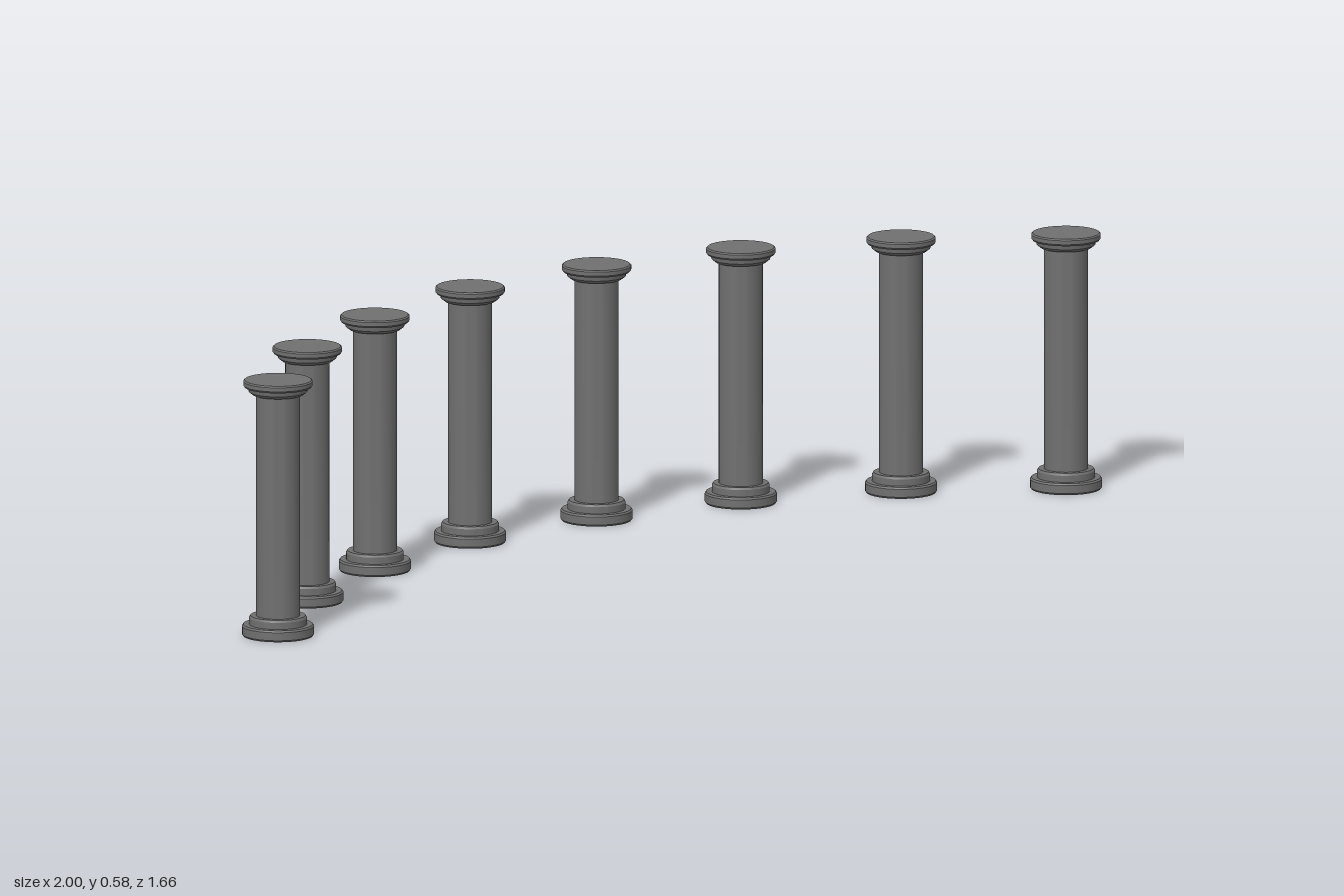
import * as THREE from 'three';
import { toCreasedNormals } from 'three/addons/utils/BufferGeometryUtils.js';

const material = new THREE.MeshStandardMaterial({ color: 0x707070 });

// Turned part from [radius, height] pairs, listed bottom to top
function turned(profile) {
  const points = profile.map(([r, y]) => new THREE.Vector2(r, y));
  return toCreasedNormals(new THREE.LatheGeometry(points, 40), 0.5);
}

export function createModel() {
  const model = new THREE.Group();
  model.name = 'colonnade';

  const parts = {
    // Wide foot with a narrower ring above it
    base: turned([
      [0, 0], [0.077, 0], [0.08, 0.004], [0.08, 0.022], [0.077, 0.026],
      [0.064, 0.026], [0.064, 0.041], [0.061, 0.046], [0, 0.046],
    ]),
    shaft: turned([[0, 0.04], [0.049, 0.04], [0.049, 0.552], [0, 0.552]]),
    // Flared ring under a flat round slab
    capital: turned([
      [0, 0.545], [0.056, 0.545], [0.065, 0.552], [0.067, 0.562],
      [0.074, 0.562], [0.077, 0.566], [0.077, 0.575], [0.074, 0.578], [0, 0.578],
    ]),
  };

  // Columns stand along an arc, as [x, z]
  const positions = [
    [-0.92, 0.747], [-0.833, 0.383], [-0.663, 0.05], [-0.434, -0.246],
    [-0.14, -0.47], [0.19, -0.636], [0.551, -0.731], [0.918, -0.749],
  ];
  positions.forEach(([x, z], i) => {
    const column = new THREE.Group();
    column.name = `column${i + 1}`;
    for (const [name, geometry] of Object.entries(parts)) {
      const mesh = new THREE.Mesh(geometry, material);
      mesh.name = name;
      column.add(mesh);
    }
    column.position.set(x, 0, z);
    model.add(column);
  });
  return model;
}
